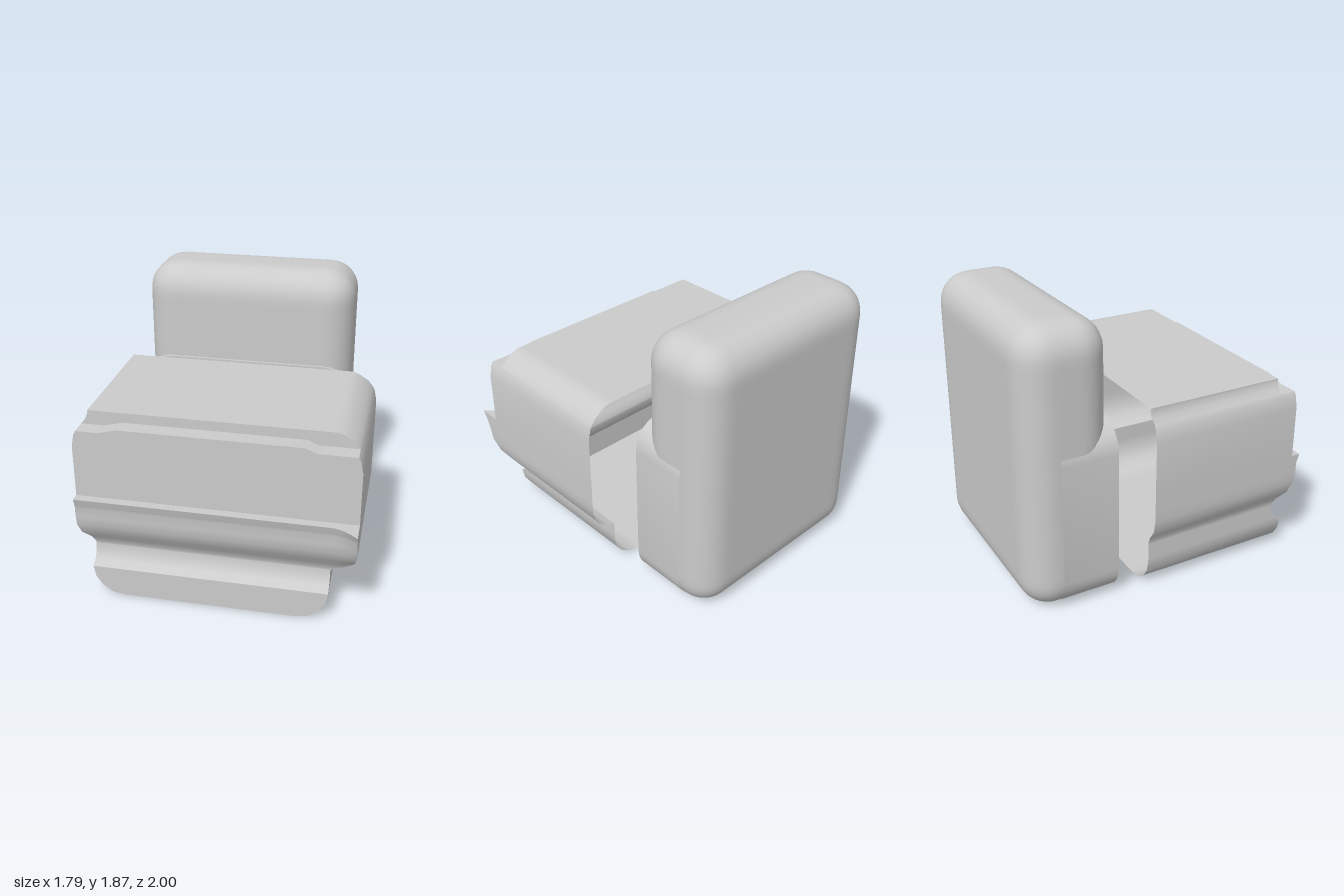
import * as THREE from 'three';
import { toCreasedNormals } from 'three/addons/utils/BufferGeometryUtils.js';

const material = new THREE.MeshStandardMaterial({ color: 0xcccccc, side: THREE.DoubleSide });

// Surface from triangles, with sharp edges kept and zero-area faces dropped
function surface(triangles) {
  const kept = triangles.filter(([a, b, c]) =>
    b.clone().sub(a).cross(c.clone().sub(a)).length() > 1e-7);
  const geometry = new THREE.BufferGeometry().setFromPoints(kept.flat());
  return toCreasedNormals(geometry, 0.62);
}

// Skin over rows holding equal numbers of points
function skin(rows) {
  const triangles = [];
  for (let i = 0; i + 1 < rows.length; i++) {
    for (let j = 0; j + 1 < rows[i].length; j++) {
      const a = rows[i][j], b = rows[i][j + 1], c = rows[i + 1][j + 1], d = rows[i + 1][j];
      triangles.push([a, b, c], [a, c, d]);
    }
  }
  return surface(triangles);
}

function part(name, geometry) {
  const mesh = new THREE.Mesh(geometry, material);
  mesh.name = name;
  return mesh;
}

const R = 0.2;
// How far a rounded corner pulls the side in, at a height d from the flat end
const pullIn = d => (d >= R ? 0 : R - Math.sqrt(Math.max(0, R * R - (R - d) ** 2)));

// Half-outlines of the front block: wide upper body over a narrower, offset base
function sideX(y, baseX) {
  const base = baseX - pullIn(y);
  if (y < 0.33) return base;
  return Math.max(base, 0.895 - pullIn(y - 0.33) - pullIn(1.28 - y));
}

// Hollow front block, open at the back, with groove, lip and top ledge
function frontBlock() {
  // [height, front z, lip flare at the left end, ledge rise]
  const profile = [
    [0, -0.2], [0, 0.85], [0.015, 0.85], [0.06, 0.85], [0.123, 0.85], [0.2, 0.85],
    [0.23, 0.8], [0.27, 0.775], [0.329, 0.765], [0.331, 0.765], [0.345, 0.768],
    [0.39, 0.79], [0.453, 0.845, 0.01], [0.53, 0.88, 0.035], [0.6, 0.89, 0.045],
    [0.665, 0.89, 0.07], [0.68, 0.895, 0.07], [0.73, 0.91, 0.09], [0.73, 0.85],
    [1.08, 0.85], [1.157, 0.85], [1.185, 0.85, 0, 0.03], [1.185, 0.74, 0, 0.03],
    [1.222, 0.74], [1.265, 0.74], [1.28, 0.74], [1.28, -0.2],
  ];
  const columns = [0, 0.084, 0.153, 0.5, 0.818, 0.86, 0.92, 0.95, 0.975, 1];
  const rows = profile.map(([y, z, flare = 0, rise = 0]) => {
    const left = -sideX(y, 0.82), right = sideX(y, 0.725);
    const front = columns.map((t, j) => {
      const x = THREE.MathUtils.lerp(left, right, t);
      const f = Math.max(0, (x - 0.74) / 0.155) ** 1.7;
      const raised = j >= 2 && j <= 4 ? rise : 0;
      return new THREE.Vector3(x, y + raised, z + flare * f);
    });
    return [new THREE.Vector3(left, y, -0.2), ...front, new THREE.Vector3(right, y, -0.2)];
  });
  return skin(rows);
}

// Rounded back block, left open at the lower front
function backBlock() {
  const half = new THREE.Vector3(0.735, 0.9325, 0.29);
  const inner = half.clone().subScalar(R);
  const box = new THREE.BoxGeometry(1.47, 1.865, 0.58, 30, 38, 14).toNonIndexed();
  const position = box.attributes.position;
  const points = [];
  for (let i = 0; i < position.count; i++) {
    const p = new THREE.Vector3().fromBufferAttribute(position, i);
    const core = p.clone().clamp(inner.clone().negate(), inner);
    p.sub(core).setLength(R).add(core);
    points.push(p.add(new THREE.Vector3(-0.05, 0.9325, -0.71)));
  }
  const triangles = [];
  for (let i = 0; i < points.length; i += 3) {
    const t = points.slice(i, i + 3);
    const y = (t[0].y + t[1].y + t[2].y) / 3, z = (t[0].z + t[1].z + t[2].z) / 3;
    if (z < -0.61 || y > 1.04) triangles.push(t);
  }
  return surface(triangles);
}

// Straight rounded sleeve reaching forward from the back block
function collar() {
  const ring = z => {
    const points = [];
    const centers = [[0.492, 1.01], [-0.592, 1.01], [-0.592, 0.2], [0.492, 0.2]];
    centers.forEach(([cx, cy], q) => {
      for (let k = 0; k <= 6; k++) {
        const a = (q + k / 6) * Math.PI / 2;
        points.push(new THREE.Vector3(cx + R * Math.cos(a), cy + R * Math.sin(a), z));
      }
    });
    return [...points, points[0].clone()];
  };
  return skin([ring(-0.78), ring(-0.4)]);
}

export function createModel() {
  const model = new THREE.Group();
  model.name = 'twoPartBlock';
  model.add(
    part('frontBlock', frontBlock()),
    part('backBlock', backBlock()),
    part('backCollar', collar()),
  );
  return model;
}
